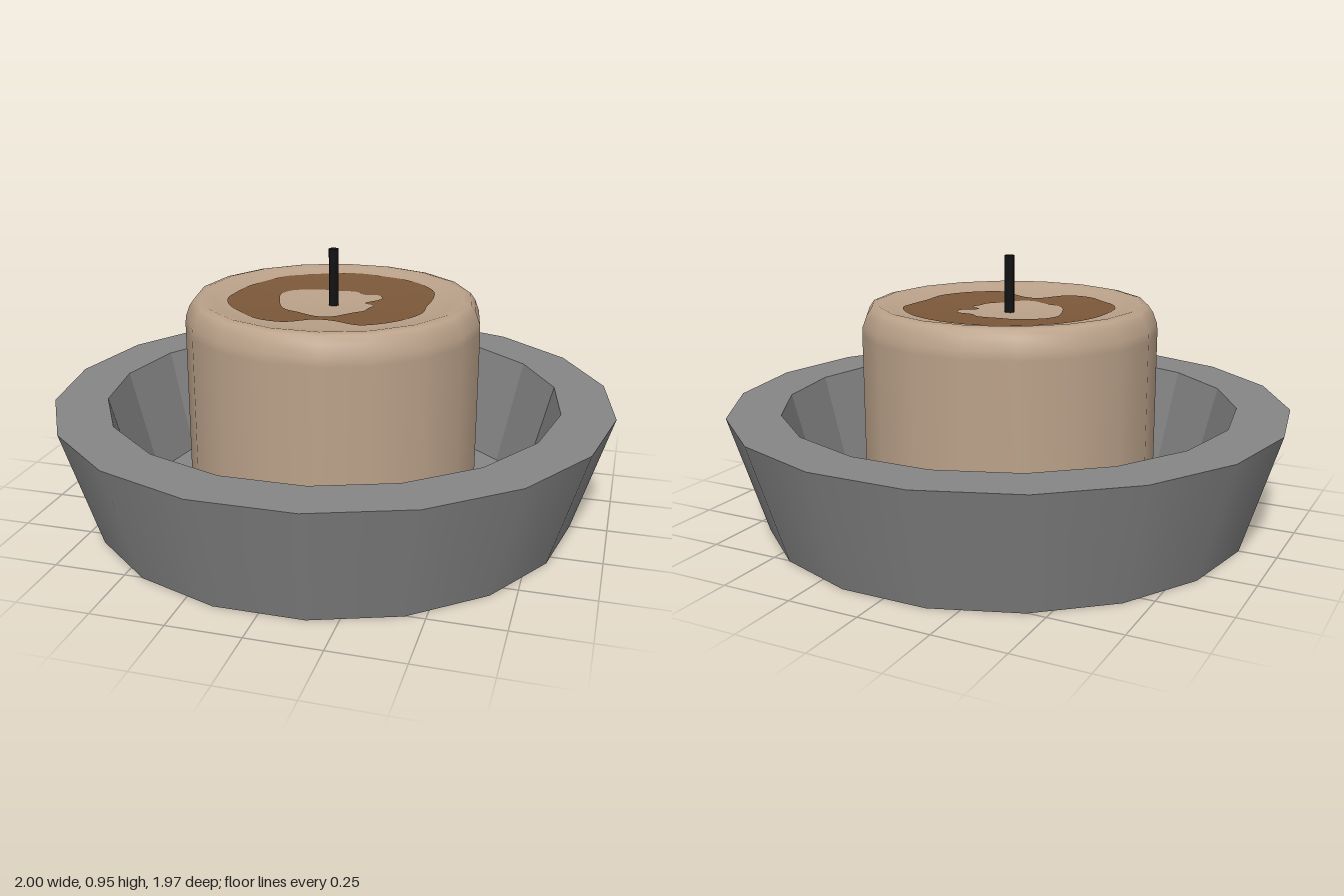
import * as THREE from 'three';
import { mergeGeometries } from 'three/addons/utils/BufferGeometryUtils.js';

const SIDES = 18;

function material(name, color) {
  const m = new THREE.MeshStandardMaterial({ color });
  m.name = name;
  return m;
}

function mesh(name, geometry, mat) {
  const m = new THREE.Mesh(geometry, mat);
  m.name = name;
  return m;
}

// Revolved profile with a corner on the x axis
function revolve(profile, flat = false) {
  const points = profile.map(([r, y]) => new THREE.Vector2(r, y));
  const g = new THREE.LatheGeometry(points, SIDES, Math.PI / 2).toNonIndexed();
  if (flat) g.computeVertexNormals();
  return g;
}

// Hollowed candle top, from the centre out to the rim
const HOLLOW = [[0, 0.75], [0.18, 0.757], [0.36, 0.768], [0.43, 0.781], [0.465, 0.79]];

function hollowHeight(r) {
  const i = Math.max(1, HOLLOW.findIndex(([hr]) => hr >= r));
  const [r0, y0] = HOLLOW[i - 1];
  const [r1, y1] = HOLLOW[i];
  return y0 + ((y1 - y0) * (r - r0)) / (r1 - r0);
}

// Irregular melted ring: outline radii every 15 degrees, from +x towards +z
const OUTER = [0.335, 0.35, 0.35, 0.345, 0.33, 0.25, 0.24, 0.325, 0.355, 0.355, 0.37, 0.375,
  0.365, 0.365, 0.365, 0.375, 0.37, 0.375, 0.38, 0.375, 0.38, 0.38, 0.375, 0.35];
const INNER = [0.145, 0.14, 0.15, 0.145, 0.155, 0.18, 0.19, 0.18, 0.175, 0.19, 0.19, 0.19,
  0.2, 0.22, 0.22, 0.2, 0.185, 0.165, 0.165, 0.17, 0.155, 0.19, 0.175, 0.11];

function outline(radii, count) {
  const pts = radii.map((r, i) => {
    const a = (i / radii.length) * Math.PI * 2;
    return new THREE.Vector3(r * Math.cos(a), 0, r * Math.sin(a));
  });
  const curve = new THREE.CatmullRomCurve3(pts, true);
  return Array.from({ length: count }, (_, i) => curve.getPoint(i / count));
}

function meltedRing() {
  const around = 96, across = 5;
  const inner = outline(INNER, around), outer = outline(OUTER, around);
  const positions = [], index = [];
  for (let i = 0; i < around; i++) {
    for (let j = 0; j <= across; j++) {
      const p = inner[i].clone().lerp(outer[i], j / across);
      positions.push(p.x, hollowHeight(Math.hypot(p.x, p.z)) + 0.003, p.z);
    }
  }
  const at = (i, j) => (i % around) * (across + 1) + j;
  for (let i = 0; i < around; i++) {
    for (let j = 0; j < across; j++) {
      const a = at(i, j), b = at(i, j + 1), c = at(i + 1, j), d = at(i + 1, j + 1);
      index.push(a, d, b, a, c, d);
    }
  }
  const g = new THREE.BufferGeometry();
  g.setAttribute('position', new THREE.Float32BufferAttribute(positions, 3));
  g.setIndex(index);
  g.computeVertexNormals();
  return g;
}

export function createModel() {
  const stone = material('grey stone', 0x868686);
  const wax = material('beige wax', 0xbba28a);
  const brown = material('brown wax', 0x7c5839);
  const black = material('black wick', 0x111111);

  const model = new THREE.Group();
  model.name = 'candleInDish';

  // Dish: smooth outer wall, faceted inside
  model.add(mesh('dish', mergeGeometries([
    revolve([[0, 0], [0.87, 0]], true),
    revolve([[0.87, 0], [1, 0.42]]),
    revolve([[1, 0.42], [0.813, 0.42]], true),
    revolve([[0.813, 0.42], [0.711, 0.03]], true),
    revolve([[0.711, 0.03], [0, 0.03]], true),
  ]), stone));

  // Candle body with rounded shoulder and hollowed top
  const candle = new THREE.Group();
  candle.name = 'candle';
  candle.position.set(-0.003, 0, -0.003);
  candle.add(mesh('candleBody', revolve([
    [0.524, 0.03], [0.524, 0.69], [0.522, 0.72], [0.507, 0.76], [0.49, 0.784],
    ...HOLLOW.slice().reverse(),
  ]), wax));
  candle.add(mesh('meltedRing', meltedRing(), brown));

  // Wick
  const wick = mesh('wick', new THREE.CylinderGeometry(0.018, 0.018, 0.22, 8), black);
  wick.position.y = 0.843;
  candle.add(wick);

  model.add(candle);
  return model;
}
